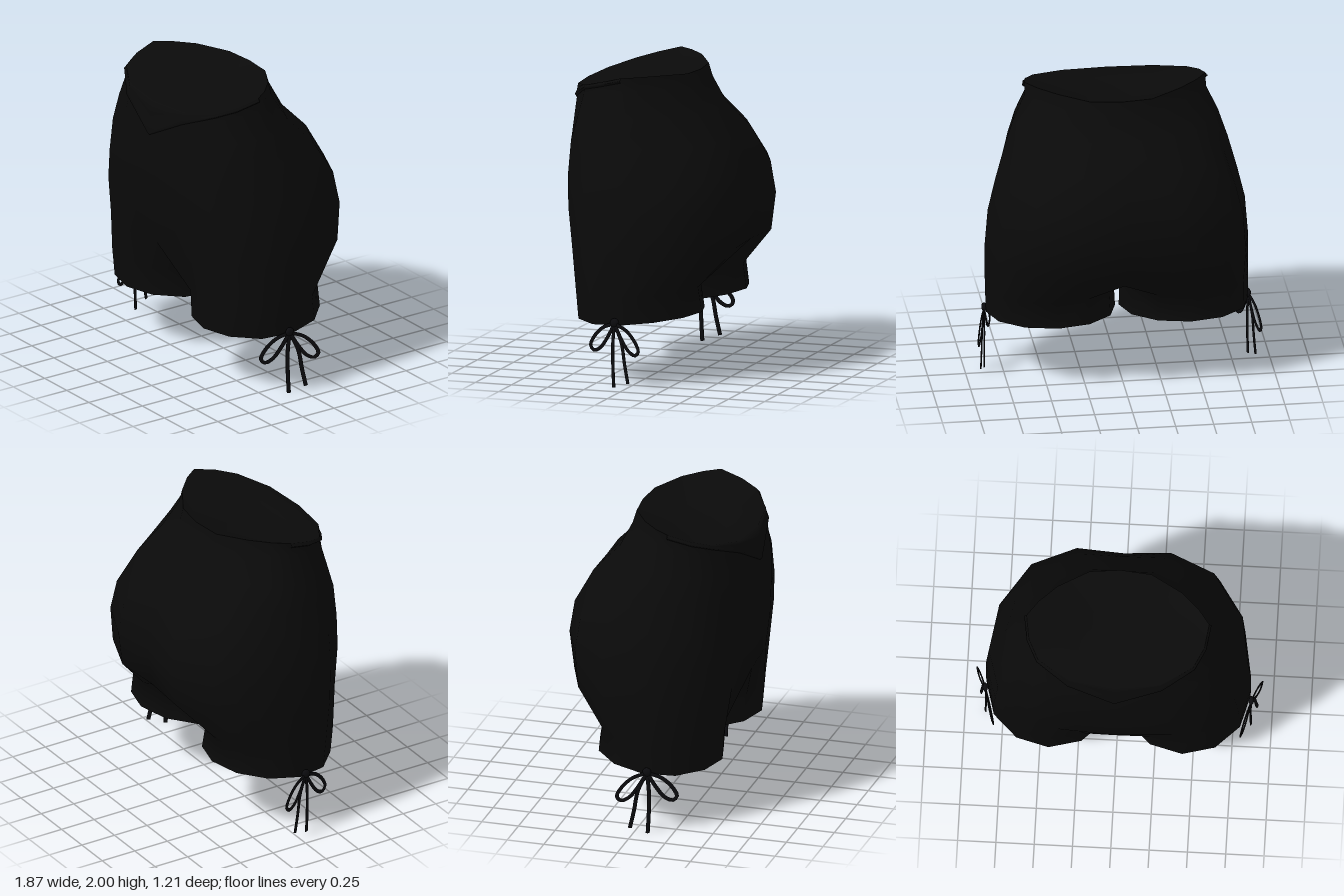
import * as THREE from 'three';
import { mergeVertices } from 'three/addons/utils/BufferGeometryUtils.js';

const fabric = new THREE.MeshStandardMaterial({ color: 0x0a0a0a, side: THREE.DoubleSide });
fabric.name = 'black fabric';
const cord = new THREE.MeshStandardMaterial({ color: 0x0c0c0f, side: THREE.DoubleSide });
cord.name = 'black cord';

// Half outlines from back centre (0) round the side (4) to front centre (8)
const hipU = [0, 0.385, 0.75, 0.94, 1, 0.915, 0.7, 0.43, 0];
const hipV = [-0.97, -1, -0.81, -0.46, 0, 0.52, 0.86, 0.95, 1];
const waistU = [0, 0.34, 0.68, 0.88, 1, 0.96, 0.85, 0.5, 0];
const waistV = [-1, -0.94, -0.6, -0.28, 0, 0.35, 0.64, 0.92, 1];

// y, half width, back z, front z, side z, share of waist outline, rim tilt
const levels = [
  [2.0, 0.595, -0.21, 0.572, 0.14, 1, 1],
  [1.91, 0.597, -0.235, 0.574, 0.14, 0.9, 0.6],
  [1.74, 0.675, -0.31, 0.582, 0.12, 0.6, 0.2],
  [1.56, 0.735, -0.47, 0.597, 0.1, 0.25, 0],
  [1.34, 0.795, -0.58, 0.585, 0.09, 0, 0],
  [1.13, 0.845, -0.61, 0.57, 0.08, 0, 0],
  [0.88, 0.865, -0.575, 0.535, 0.08, 0, 0],
];
const mix = THREE.MathUtils.lerp;

const torso = levels.map(([y, w, back, front, side, waist, tilt]) =>
  hipU.map((u, i) => {
    const v = mix(hipV[i], waistV[i], waist);
    const z = side + (v < 0 ? -v * (back - side) : v * (front - side));
    const drop = Math.max(0, z - 0.15) * 0.28 + Math.max(0, -0.05 - z) * 0.12;
    return new THREE.Vector3(w * mix(u, waistU[i], waist), y - drop * tilt, z);
  }));

// Closed twelve-point leg ring, in step with the half outlines, rising at the back
function legRing(y, rise, cx, rx, cz, rz) {
  return Array.from({ length: 12 }, (_, i) => {
    const a = (i * 30 - 120) * Math.PI / 180;
    const lift = rise * Math.max(0, 0.35 - Math.sin(a)) / 1.35;
    return new THREE.Vector3(cx + rx * Math.cos(a), y + lift, cz + rz * Math.sin(a));
  });
}

// Skin rows of points, running downwards, and mirror them to the other side
function mirroredSkin(strips) {
  const pos = [];
  const tri = (a, b, c) => {
    if (a.equals(b) || b.equals(c)) return;
    for (const p of [a, b, c]) pos.push(p.x, p.y, p.z);
    for (const p of [a, c, b]) pos.push(-p.x, p.y, p.z);
  };
  for (const { rows, closed } of strips) {
    for (let j = 0; j < rows.length - 1; j++) {
      const n = rows[j].length;
      for (let i = 0; i < (closed ? n : n - 1); i++) {
        const k = (i + 1) % n;
        tri(rows[j][i], rows[j][k], rows[j + 1][k]);
        tri(rows[j][i], rows[j + 1][k], rows[j + 1][i]);
      }
    }
  }
  const geo = new THREE.BufferGeometry();
  geo.setAttribute('position', new THREE.Float32BufferAttribute(pos, 3));
  const merged = mergeVertices(geo, 1e-4);
  merged.computeVertexNormals();
  return merged;
}

// Point on the torso in column i at height y
function torsoAt(i, y) {
  let j = 0;
  while (j < torso.length - 2 && torso[j + 1][i].y > y) j++;
  const a = torso[j][i], b = torso[j + 1][i];
  return a.clone().lerp(b, (a.y - y) / (a.y - b.y));
}

function addMesh(parent, name, geometry, material) {
  const mesh = new THREE.Mesh(geometry, material);
  mesh.name = name;
  parent.add(mesh);
}

// Flat cord bow with two loops and two tails, hanging from a knot
function makeBow() {
  const bow = new THREE.Group();
  const slant = new THREE.Matrix4().set(0.4, 0, -0.33, 0, 0, 1, 0, 0, 0, 0, 1, 0, 0, 0, 0, 1);
  const strand = (name, points) => {
    const curve = new THREE.CatmullRomCurve3(points.map(([z, y]) => new THREE.Vector3(0, y, z)));
    addMesh(bow, name, new THREE.TubeGeometry(curve, 28, 0.0135, 6).applyMatrix4(slant), cord);
  };
  for (const s of [1, -1]) {
    strand('bowLoop', [[0, 0.425], [0.09 * s, 0.39], [0.16 * s, 0.32], [0.186 * s, 0.26],
      [0.16 * s, 0.232], [0.11 * s, 0.255], [0.06 * s, 0.32], [0, 0.425]]);
  }
  strand('bowTail', [[0, 0.425], [0.012, 0.3], [0.012, 0.15], [0.005, 0.002]]);
  strand('bowTail', [[0, 0.425], [-0.055, 0.3], [-0.08, 0.16], [-0.105, 0.04]]);
  const knot = new THREE.SphereGeometry(0.03, 10, 8);
  knot.scale(0.6, 1, 1).translate(0, 0.432, 0);
  addMesh(bow, 'bowKnot', knot, cord);
  return bow;
}

export function createModel() {
  const model = new THREE.Group();
  model.name = 'shorts';

  // Hips and legs, joined along the crotch
  const crotch = [[0.74, 0.42], [0.64, 0.08], [0.72, -0.34]].map(([y, z]) => new THREE.Vector3(0, y, z));
  const hem = legRing(0.4, 0.055, 0.436, 0.424, 0.05, 0.417);
  const legRows = [
    [...torso[torso.length - 1], ...crotch],
    legRing(0.59, 0.03, 0.4425, 0.4225, 0.07, 0.412),
    hem,
  ];
  addMesh(model, 'shortsBody', mirroredSkin([
    { rows: torso, closed: false },
    { rows: legRows, closed: true },
  ]), fabric);

  // Narrow turned-in hems
  const hemInner = legRing(0.412, 0.055, 0.436, 0.402, 0.05, 0.395);
  addMesh(model, 'legHems', mirroredSkin([{ rows: [hem, hemInner], closed: true }]), fabric);

  // Pointed front panel, its lower edge turned back onto the body
  const rim = torso[0];
  const panelRow = (t, offset, lower) => rim.slice(4).map((top, k) => {
    const bottom = Math.min(1.66 + 0.54 * top.x, top.y - 0.02);
    const p = torsoAt(k + 4, mix(top.y, bottom, t) - lower);
    return p.addScaledVector(new THREE.Vector3(p.x, 0, p.z - 0.14).normalize(), offset);
  });
  const panelRows = [panelRow(0, 0, 0), panelRow(0.33, 0.003, 0), panelRow(0.67, 0.007, 0),
    panelRow(1, 0.016, 0), panelRow(1, 0, 0.012)];

  // Shallow dished top closing the waist, running on into the panel
  const centre = new THREE.Vector3(0, 1.89, 0.24);
  const topRows = [0, 0.5, 1].map((t) => rim.map((p) => {
    const q = centre.clone().lerp(p, t);
    q.y = mix(centre.y, p.y, t * t);
    return q;
  }));
  addMesh(model, 'waistTopAndPanel', mirroredSkin([
    { rows: topRows, closed: false },
    { rows: panelRows, closed: false },
  ]), fabric);

  // Side bows
  for (const side of [1, -1]) {
    const bow = makeBow();
    bow.name = side > 0 ? 'leftBow' : 'rightBow';
    bow.position.set(0.868 * side, 0, 0.085);
    bow.scale.x = side;
    model.add(bow);
  }
  return model;
}
